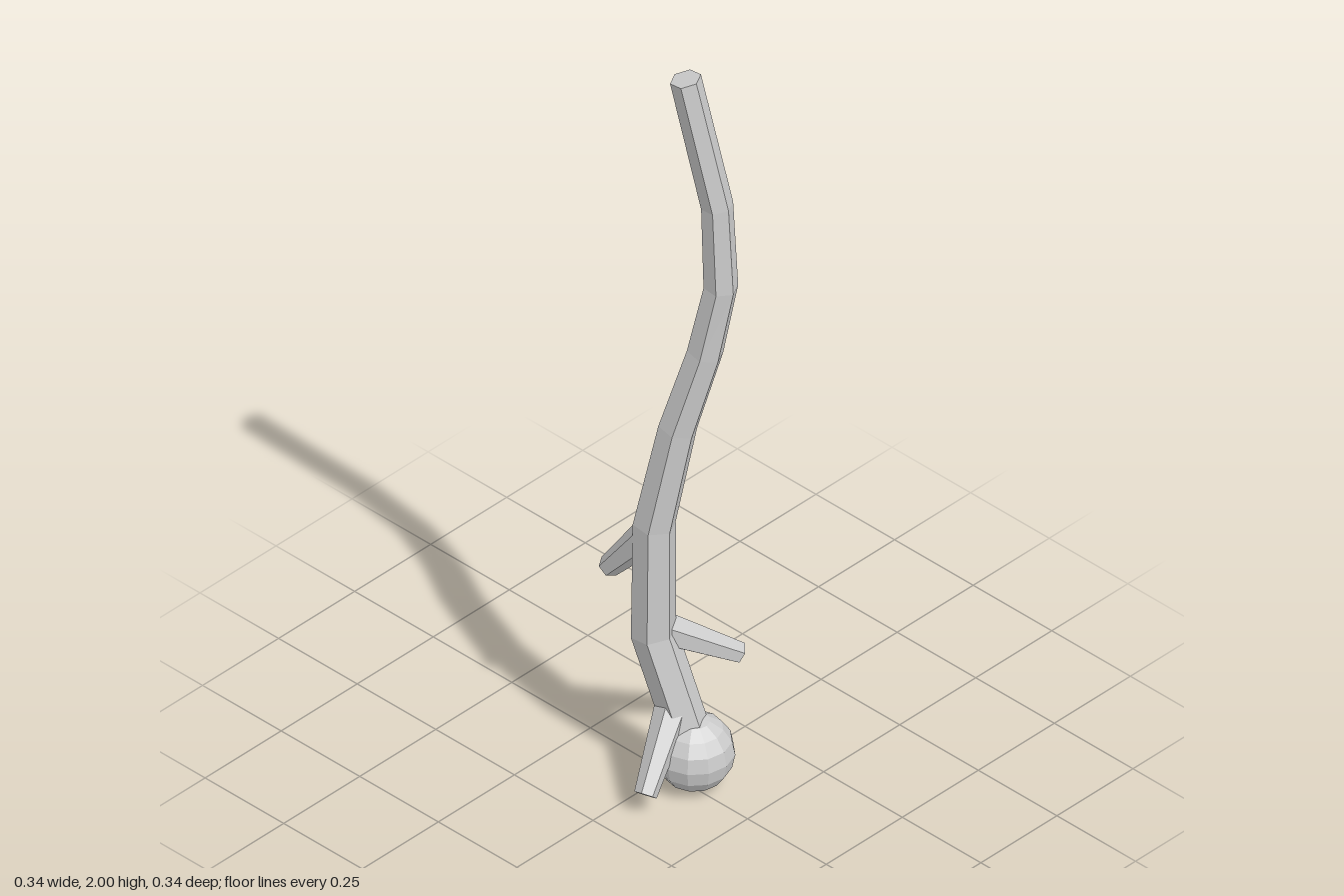
import * as THREE from 'three';

const material = new THREE.MeshStandardMaterial({ color: 0xcccccc, flatShading: true });
const SIDES = 6;

// Capped hexagonal tube through [x, y, z, radius] rings, each square to the path.
function loft(name, rings, reference) {
  const centres = rings.map((r) => new THREE.Vector3(r[0], r[1], r[2]));
  const positions = [];
  const index = [];
  rings.forEach((ring, k) => {
    const before = centres[Math.max(k - 1, 0)];
    const after = centres[Math.min(k + 1, rings.length - 1)];
    const t = after.clone().sub(before).normalize();
    const u = reference.clone().addScaledVector(t, -reference.dot(t)).normalize();
    const v = t.clone().cross(u);
    for (let i = 0; i < SIDES; i++) {
      const a = (i / SIDES) * Math.PI * 2;
      const p = centres[k].clone()
        .addScaledVector(u, Math.cos(a) * ring[3])
        .addScaledVector(v, Math.sin(a) * ring[3]);
      positions.push(p.x, p.y, p.z);
    }
  });
  // side faces
  for (let k = 0; k < rings.length - 1; k++) {
    for (let i = 0; i < SIDES; i++) {
      const a = k * SIDES + i;
      const b = k * SIDES + ((i + 1) % SIDES);
      index.push(a, b, b + SIDES, a, b + SIDES, a + SIDES);
    }
  }
  // end caps
  const last = (rings.length - 1) * SIDES;
  for (let i = 1; i < SIDES - 1; i++) {
    index.push(0, i + 1, i, last, last + i, last + i + 1);
  }
  const indexed = new THREE.BufferGeometry();
  indexed.setAttribute('position', new THREE.Float32BufferAttribute(positions, 3));
  indexed.setIndex(index);
  const geometry = indexed.toNonIndexed();
  geometry.computeVertexNormals();
  const mesh = new THREE.Mesh(geometry, material);
  mesh.name = name;
  return mesh;
}

export function createModel() {
  const group = new THREE.Group();
  group.name = 'gnarledStick';

  // Winding shaft, tapering upward
  group.add(loft('shaft', [
    [0.07, 0.10, -0.01, 0.053],
    [-0.022, 0.41, 0.028, 0.054],
    [-0.022, 0.72, 0.026, 0.051],
    [0.022, 1.0, -0.006, 0.047],
    [0.072, 1.22, -0.044, 0.044],
    [0.102, 1.41, -0.065, 0.041],
    [0.095, 1.64, -0.06, 0.038],
    [0.035, 1.992, -0.018, 0.037],
  ], new THREE.Vector3(1, 0, 0.03)));

  // Short tapered stubs pointing outward and down
  const up = new THREE.Vector3(0, 1, 0);
  const stubs = [
    ['rightStub', [-0.02, 0.70, 0.03], [-0.151, 0.538, 0.042]],
    ['backStub', [-0.02, 0.42, 0.015], [0.076, 0.306, -0.153]],
    ['frontStub', [0.028, 0.225, 0.012], [0.072, 0.06, 0.152]],
  ];
  for (const [name, base, tip] of stubs) {
    group.add(loft(name, [[...base, 0.044], [...tip, 0.027]], up));
  }

  // Round knob at the foot
  const knob = new THREE.Mesh(new THREE.SphereGeometry(0.095, 12, 8), material);
  knob.name = 'knob';
  knob.position.set(0.07, 0.098, -0.011);
  knob.rotation.y = 0.08;
  group.add(knob);

  return group;
}
